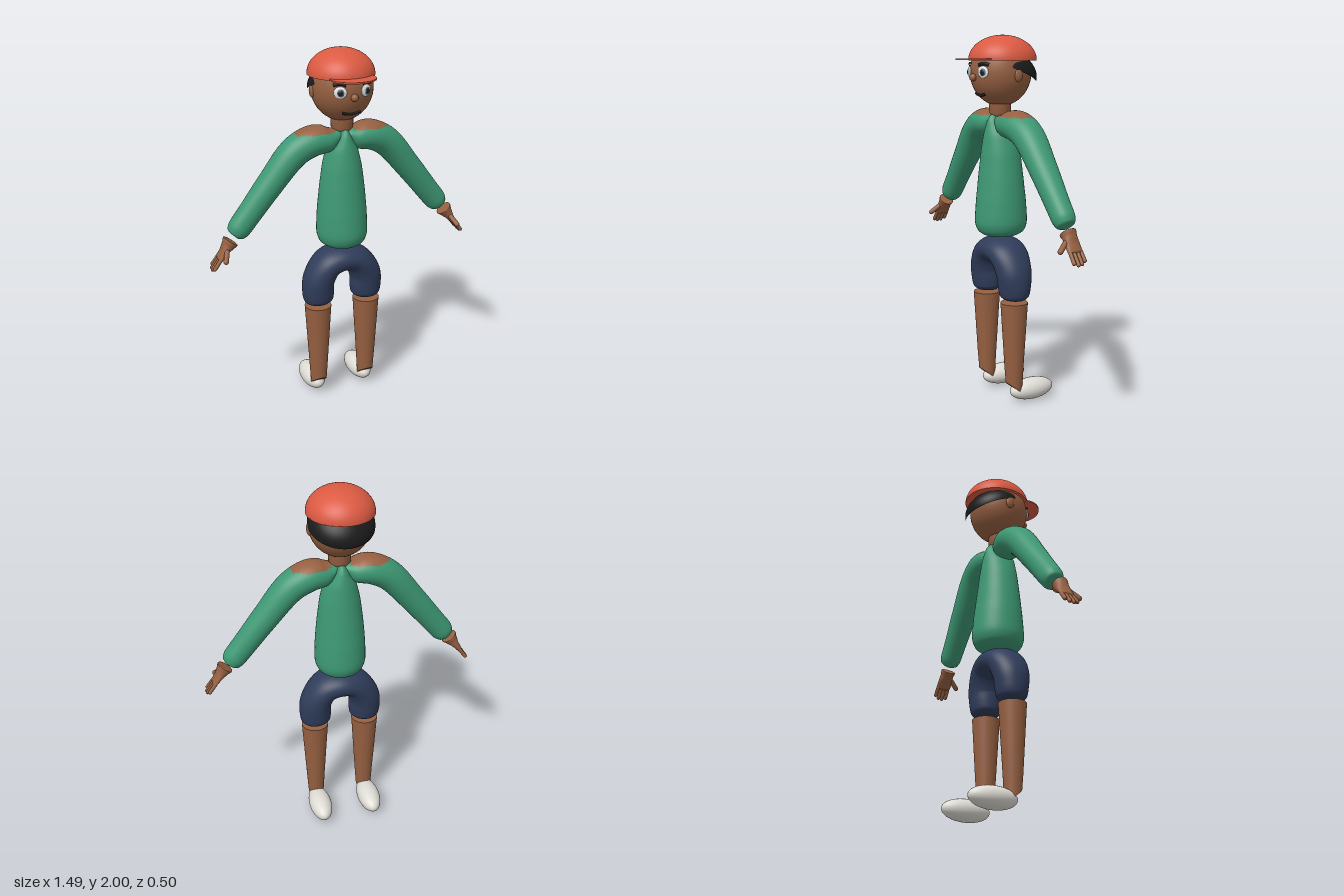
import * as THREE from 'three';

const mat = (name, color) => Object.assign(new THREE.MeshStandardMaterial({ color }), { name });
const skin = mat('skin', 0x966041), shirt = mat('shirt green', 0x3d9874), navy = mat('shorts navy', 0x2f3c5a);
const red = mat('cap red', 0xdb5a42), black = mat('hair black', 0x1b1b1b), white = mat('shoe white', 0xdedcd4);
const eyeWhite = mat('eye white', 0xf2f2f2), iris = mat('iris blue grey', 0x4b5f75);

function add(parent, name, geometry, material, pos = [0, 0, 0], scale = [1, 1, 1]) {
  const m = new THREE.Mesh(geometry, material);
  m.name = name;
  m.position.set(...pos);
  m.scale.set(...scale);
  parent.add(m);
  return m;
}

// Smooth tube along a path in a plane of constant z.
// Each section is [x, y, z, radius in the plane, radius along z].
// Quads for which second(x, y, z) holds go to the second material group.
function loft(sections, second = () => false, rows = 64, sides = 40) {
  const path = new THREE.CatmullRomCurve3(sections.map(s => new THREE.Vector3(s[0], s[1], s[2])));
  const radii = new THREE.CatmullRomCurve3(sections.map(s => new THREE.Vector3(s[3], s[4], 0)), false, 'catmullrom', 0.4);
  const pos = [], lists = [[], []];
  for (let i = 0; i <= rows; i++) {
    const c = path.getPoint(i / rows), t = path.getTangent(i / rows), r = radii.getPoint(i / rows);
    const len = Math.hypot(t.x, t.y) || 1;
    const ra = Math.max(r.x, 0.0005), rb = Math.max(r.y, 0.0005);
    for (let j = 0; j < sides; j++) {
      const a = j / sides * Math.PI * 2, u = ra * Math.cos(a);
      pos.push(c.x - t.y / len * u, c.y + t.x / len * u, c.z + rb * Math.sin(a));
    }
  }
  for (let i = 0; i < rows; i++) for (let j = 0; j < sides; j++) {
    const k = (j + 1) % sides;
    const a = i * sides + j, b = i * sides + k, c = b + sides, d = a + sides;
    const mid = n => (pos[a * 3 + n] + pos[c * 3 + n]) / 2;
    lists[second(mid(0), mid(1), mid(2)) ? 1 : 0].push(a, b, d, b, c, d);
  }
  const g = new THREE.BufferGeometry();
  g.setAttribute('position', new THREE.Float32BufferAttribute(pos, 3));
  g.setIndex([...lists[0], ...lists[1]]);
  g.addGroup(0, lists[0].length, 0);
  g.addGroup(lists[0].length, lists[1].length, 1);
  g.computeVertexNormals();
  return g;
}

const ball = new THREE.SphereGeometry(1, 40, 28);
const dome = new THREE.SphereGeometry(1, 48, 20, 0, Math.PI * 2, 0, Math.PI / 2);

// Head ellipsoid and its front surface
const H = { y: 1.805, z: -0.003, rx: 0.165, ry: 0.18, rz: 0.165 };
const faceZ = (x, y) => H.z + H.rz * Math.sqrt(Math.max(0, 1 - (x / H.rx) ** 2 - ((y - H.y) / H.ry) ** 2));
const faceLine = (pts, r) => new THREE.TubeGeometry(
  new THREE.CatmullRomCurve3(pts.map(([x, y]) => new THREE.Vector3(x, y, faceZ(x, y) + 0.002))), 20, r, 8);

function makeHead() {
  const head = new THREE.Group();
  head.name = 'head';
  add(head, 'skull', ball, skin, [0, H.y, H.z], [H.rx, H.ry, H.rz]);
  add(head, 'nose', ball, skin, [0, 1.778, 0.167], [0.02, 0.02, 0.02]);
  add(head, 'mouth', faceLine([[-0.05, 1.694], [-0.025, 1.687], [0, 1.684], [0.025, 1.687], [0.05, 1.694]], 0.008), black);
  for (const s of [-1, 1]) {
    add(head, 'ear', ball, skin, [s * 0.16, 1.79, -0.015], [0.015, 0.036, 0.025]);
    add(head, 'eyebrow', faceLine([[s * 0.042, 1.842], [s * 0.07, 1.85], [s * 0.1, 1.842]], 0.009), black);
    // Eye layers facing along the head's surface normal
    const eye = new THREE.Group(), x = s * 0.07, y = 1.806, z = faceZ(x, y);
    eye.name = 'eye';
    eye.position.set(x, y, z);
    eye.lookAt(x + x / H.rx ** 2, y + (y - H.y) / H.ry ** 2, z + (z - H.z) / H.rz ** 2);
    add(eye, 'eyeball', ball, eyeWhite, [0, 0, 0], [0.033, 0.031, 0.01]);
    add(eye, 'iris', ball, iris, [0.002, -0.001, 0.005], [0.02, 0.021, 0.008]);
    add(eye, 'pupil', ball, black, [0.002, -0.001, 0.008], [0.014, 0.015, 0.007]);
    head.add(eye);
  }
  // Hair: tilted dome, lower at the back
  const hair = add(head, 'hair', dome, black, [0, 1.807, -0.03], [0.171, 0.12, 0.176]);
  hair.rotation.x = -0.365;
  // Cap with a flat underside and a thin brim
  add(head, 'capCrown', dome, red, [0, 1.868, -0.015], [0.176, 0.132, 0.185]);
  add(head, 'capUnderside', new THREE.CylinderGeometry(1, 1, 0.004, 48), red, [0, 1.868, -0.015], [0.176, 1, 0.185]);
  add(head, 'capBrim', new THREE.CylinderGeometry(1, 1, 0.008, 48), red, [0, 1.871, 0.145], [0.12, 1, 0.107]);
  return head;
}

function makeHand(s) {
  const hand = new THREE.Group();
  hand.name = s > 0 ? 'leftHand' : 'rightHand';
  hand.position.set(s * 0.63, 1.037, -0.003);
  hand.rotation.z = s * 0.64;
  add(hand, 'palm', loft([
    [0, 0.001, 0, 0, 0], [0, 0, 0, 0.044, 0.04], [0, -0.03, 0, 0.034, 0.039], [0, -0.07, 0, 0.021, 0.043],
    [0, -0.11, 0, 0.014, 0.042], [0, -0.122, 0, 0, 0.03],
  ], undefined, 40, 24), skin);
  const finger = (name, from, to, r) => {
    const a = new THREE.Vector3(...from), d = new THREE.Vector3(...to).sub(a);
    const m = add(hand, name, new THREE.CapsuleGeometry(r, d.length(), 6, 12), skin);
    m.position.copy(a).addScaledVector(d, 0.5);
    m.quaternion.setFromUnitVectors(new THREE.Vector3(0, 1, 0), d.normalize());
  };
  [0.16, 0.175, 0.178, 0.168].forEach((len, i) => {
    const z = -0.033 + i * 0.021;
    finger('finger', [0, -0.1, z], [0, -len, z * 1.05], 0.0105);
  });
  finger('thumb', [0, -0.045, 0.025], [-s * 0.008, -0.095, 0.078], 0.014);
  return hand;
}

export function createModel() {
  const model = new THREE.Group();
  model.name = 'figure';
  model.add(makeHead());

  // Neck ending in a point at the collar
  add(model, 'neck', new THREE.LatheGeometry(
    [[0, 1.535], [0.035, 1.56], [0.059, 1.59], [0.06, 1.69]].map(p => new THREE.Vector2(...p)), 32), skin);

  // Torso pinched to a narrow top
  add(model, 'torso', loft([
    [0, 0.918, -0.005, 0, 0], [0, 0.922, -0.005, 0.08, 0.085], [0, 0.95, -0.005, 0.124, 0.128],
    [0, 1.0, -0.005, 0.139, 0.144], [0, 1.1, -0.005, 0.137, 0.138], [0, 1.2, -0.004, 0.129, 0.127],
    [0, 1.35, -0.003, 0.111, 0.111], [0, 1.46, -0.003, 0.086, 0.098], [0, 1.54, -0.002, 0.045, 0.082],
    [0, 1.58, 0, 0.018, 0.058], [0, 1.59, 0, 0, 0],
  ]), shirt);

  // Shorts as one arched tube
  const leg = [[0.14, 0.583, 0, 0], [0.14, 0.588, 0.06, 0.055], [0.141, 0.61, 0.083, 0.08],
    [0.143, 0.66, 0.089, 0.09], [0.138, 0.73, 0.087, 0.1], [0.085, 0.818, 0.079, 0.113]];
  const section = (s, [x, y, a, b]) => [s * x, y, -0.003, a, b];
  add(model, 'shorts', loft([
    ...leg.map(p => section(-1, p)), [0, 0.844, -0.005, 0.076, 0.12], ...leg.map(p => section(1, p)).reverse(),
  ], undefined, 96), navy);

  // Lower leg: tapered, its lower end cut at a slant
  const shin = new THREE.CylinderGeometry(0.075, 0.045, 0.49, 32, 4);
  const p = shin.attributes.position;
  for (let i = 0; i < p.count; i++) if (p.getY(i) < -0.24) p.setY(i, p.getY(i) + 0.8 * p.getZ(i));

  for (const s of [-1, 1]) {
    const side = s > 0 ? 'left' : 'right';
    // Sleeve with a bare patch on the shoulder
    const bare = (x, y, z) => y > 1.574 && Math.abs(x) > 0.05 && Math.abs(x) < 0.255 && Math.abs(z) < 0.085;
    add(model, side + 'Sleeve', loft([
      [0, 1.562, 0, 0.015, 0.03], [0.035, 1.55, 0, 0.035, 0.058], [0.09, 1.532, -0.003, 0.071, 0.084],
      [0.165, 1.526, -0.008, 0.081, 0.094], [0.26, 1.478, -0.012, 0.08, 0.088], [0.4, 1.318, -0.014, 0.071, 0.075],
      [0.52, 1.168, -0.014, 0.065, 0.064], [0.578, 1.096, -0.014, 0.062, 0.06], [0.599, 1.069, -0.014, 0.05, 0.049],
      [0.606, 1.06, -0.014, 0.03, 0.03], [0.608, 1.058, -0.014, 0, 0],
    ].map(([x, ...rest]) => [s * x, ...rest]), bare), [shirt, skin]);
    model.add(makeHand(s));
    add(model, side + 'LowerLeg', shin, skin, [s * 0.146, 0.325, 0]);
    add(model, side + 'Shoe', ball, white, [s * 0.147, 0.06, -0.114], [0.064, 0.06, 0.136]);
  }
  return model;
}
